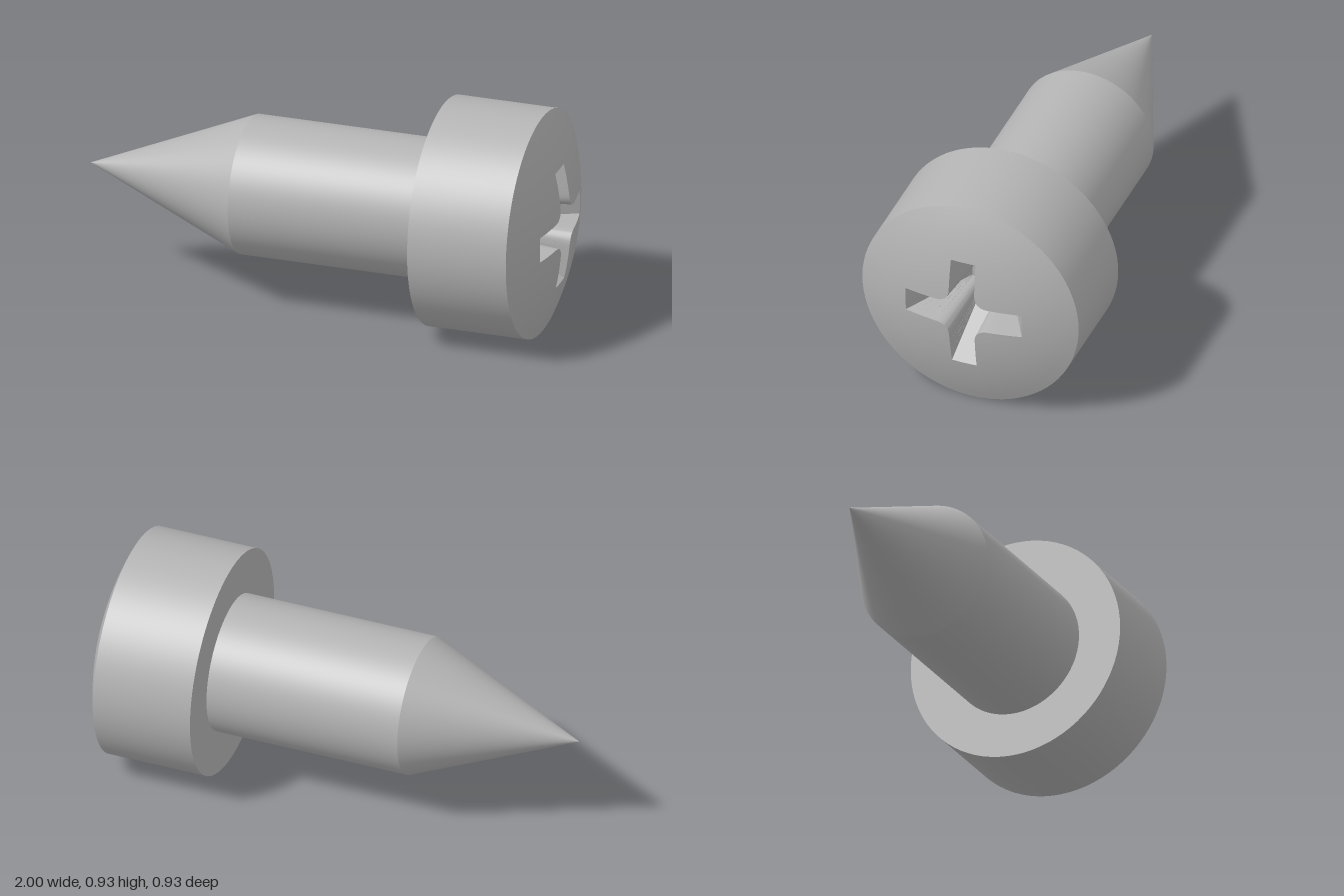
import * as THREE from 'three';
import { toCreasedNormals } from 'three/addons/utils/BufferGeometryUtils.js';

const HEAD_R = 0.466, SHANK_R = 0.283;      // radii
const RIM_X = 0.9, BACK_X = 0.485, SHOULDER_X = -0.33, TIP_X = -1, FLOOR_X = 0.68;
const DOME_R = (HEAD_R ** 2 + 0.1 ** 2) / 0.2;
const N = 80;                               // points in every ring
const TWIST = 0.01;                         // slight turn of the cross recess

const domeX = (r) => 1 - DOME_R + Math.sqrt(DOME_R ** 2 - r ** 2);
const lerp = THREE.MathUtils.lerp;

// Round ring of [y, z] points
const circle = (r) => Array.from({ length: N }, (_, i) => {
  const a = ((i - 2) / N) * Math.PI * 2;
  return [r * Math.cos(a), r * Math.sin(a)];
});

// Cross outline: arm length, half width at the arm end, fillet start and half width there
function cross(len, endHalf, root, rootHalf) {
  const quarter = [];
  for (let i = 0; i < 4; i++) quarter.push([len, lerp(-endHalf, endHalf, i / 4)]);
  for (let i = 0; i < 4; i++) quarter.push([lerp(len, root, i / 4), lerp(endHalf, rootHalf, i / 4)]);
  const fillet = new THREE.QuadraticBezierCurve(
    new THREE.Vector2(root, rootHalf), new THREE.Vector2(rootHalf, rootHalf), new THREE.Vector2(rootHalf, root));
  for (let i = 0; i < 8; i++) quarter.push(fillet.getPoint(i / 8).toArray());
  for (let i = 0; i < 4; i++) quarter.push([lerp(rootHalf, endHalf, i / 4), lerp(root, len, i / 4)]);
  const ring = [];
  for (let k = 0; k < 4; k++) {
    const a = k * Math.PI / 2 + TWIST, c = Math.cos(a), s = Math.sin(a);
    for (const [p, q] of quarter) ring.push([p * c - q * s, p * s + q * c]);
  }
  return ring;
}

const at = (x, ring) => ring.map(([y, z]) => [x, y, z]);
const onDome = (ring) => ring.map(([y, z]) => [domeX(Math.hypot(y, z)), y, z]);

// Skin between successive rings
function loft(rings) {
  const index = [];
  for (let j = 0; j < rings.length - 1; j++) {
    for (let i = 0; i < N; i++) {
      const a = j * N + i, b = j * N + (i + 1) % N;
      index.push(a, a + N, b + N, a, b + N, b);
    }
  }
  const g = new THREE.BufferGeometry();
  g.setAttribute('position', new THREE.Float32BufferAttribute(rings.flat(2), 3));
  g.setIndex(index);
  g.computeVertexNormals();
  return g;
}

export function createModel() {
  const model = new THREE.Group();
  model.name = 'screw';
  const steel = new THREE.MeshStandardMaterial({ color: 0xb4b4b4 });
  steel.name = 'grey steel';

  const add = (name, geometry) => {
    const mesh = new THREE.Mesh(geometry, steel);
    mesh.name = name;
    mesh.position.y = HEAD_R;
    model.add(mesh);
  };

  const mouth = cross(0.25, 0.053, 0.115, 0.055);
  const floor = cross(0.083, 0.037, 0.08, 0.041);
  const rim = circle(HEAD_R);

  // Cross recess: flat floor and tapering walls
  add('recessFloor', loft([at(FLOOR_X, circle(0)), at(FLOOR_X, floor)]));
  add('recessWalls', toCreasedNormals(loft([at(FLOOR_X, floor), onDome(mouth)]), 0.5));

  // Domed face, from the recess mouth out to the rim
  const domeRings = [];
  for (let j = 0; j <= 8; j++) {
    domeRings.push(onDome(mouth.map(([y, z], i) => [lerp(y, rim[i][0], j / 8), lerp(z, rim[i][1], j / 8)])));
  }
  add('headDome', loft(domeRings));

  // Head side and underside
  add('headSide', loft([at(RIM_X, rim), at(BACK_X, rim)]));
  add('headUnderside', loft([at(BACK_X, rim), at(BACK_X, circle(SHANK_R))]));

  // Plain shank and conical point
  add('shank', loft([at(BACK_X, circle(SHANK_R)), at(SHOULDER_X, circle(SHANK_R))]));
  add('point', loft([at(SHOULDER_X, circle(SHANK_R)), at(TIP_X, circle(0))]));

  return model;
}
